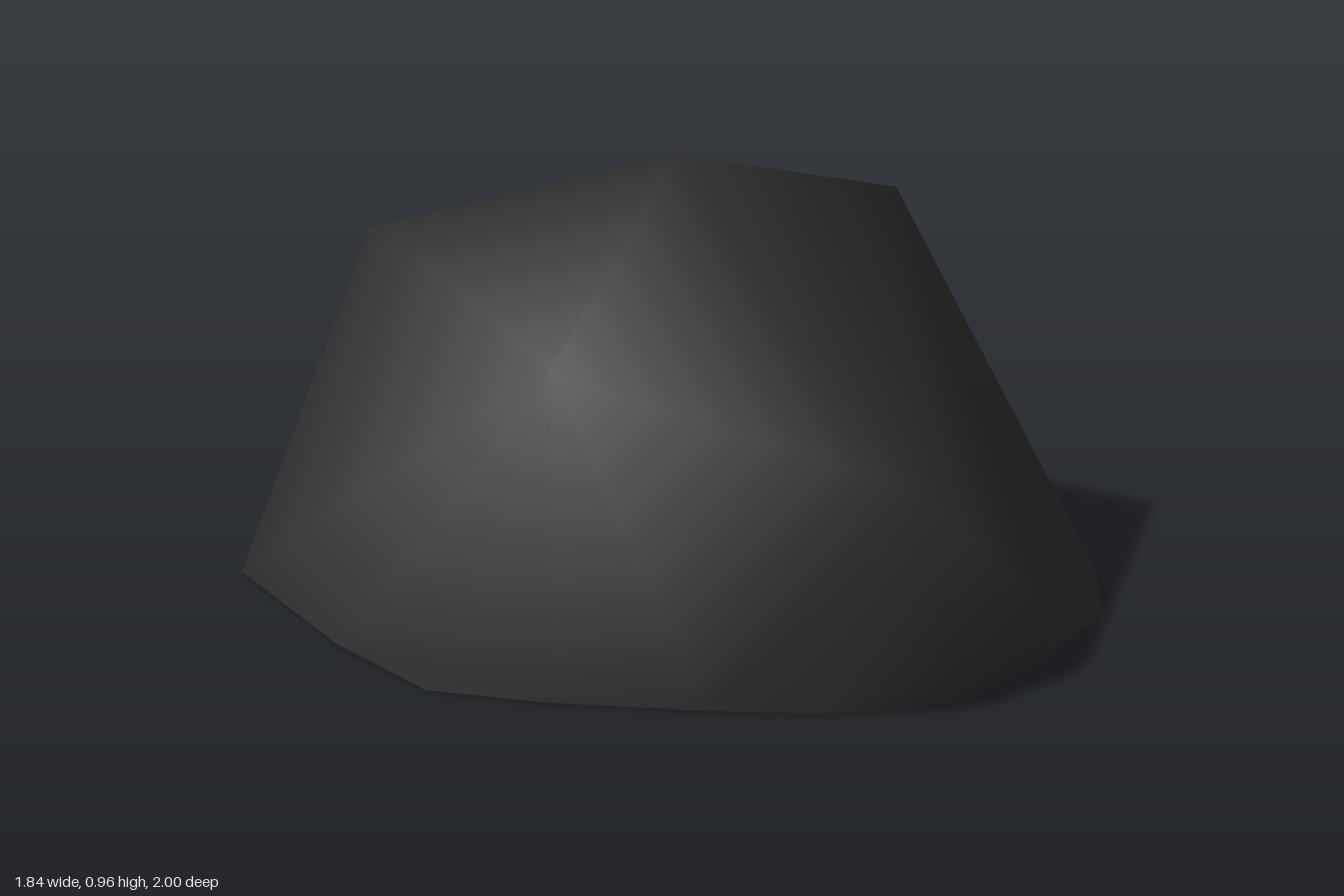
import * as THREE from 'three';
import { ConvexGeometry } from 'three/addons/geometries/ConvexGeometry.js';
import { mergeVertices } from 'three/addons/utils/BufferGeometryUtils.js';

// Ground outline as [x, z]
const OUTLINE = [
  [0.3, -0.9], [0.82, -0.68], [0.92, -0.48], [0.9, -0.3], [0.85, 0], [0.75, 0.3],
  [0.65, 0.57], [0.59, 0.7], [0.52, 0.8], [0.28, 0.95], [-0.05, 0.98], [-0.36, 0.96],
  [-0.55, 0.75], [-0.67, 0.56], [-0.82, 0.29], [-0.92, 0.04], [-0.84, -0.28], [-0.64, -0.75],
];

// Corners of the stone above the ground
const CORNERS = [
  [-0.03, 0.96, 0.02],  // peak
  [0.37, 0.855, 0.34],  // front shoulder
  [-0.73, 0.67, 0.22],  // side shoulder
  [0.48, 0.69, -0.69],  // back shoulders
  [-0.21, 0.72, -0.72],
  [-0.4, 0.47, 0.87],   // front brow
  [0.29, 0.27, -1],     // back bulge
  [-0.05, 0.13, 1],     // front bulge
  [-0.36, 0.1, 0.97],
  [0.8, 0.12, -0.66],
];

// Smooth shell: convex stone without its underside
function shellGeometry() {
  const points = CORNERS.map((p) => new THREE.Vector3(...p));
  for (const [x, z] of OUTLINE) points.push(new THREE.Vector3(Math.max(x, -0.86), 0, z));
  const hull = new ConvexGeometry(points).getAttribute('position');
  const kept = [];
  for (let i = 0; i < hull.count; i += 3) {
    if (Math.max(hull.getY(i), hull.getY(i + 1), hull.getY(i + 2)) < 0.001) continue;
    for (let j = i; j < i + 3; j++) kept.push(hull.getX(j), hull.getY(j), hull.getZ(j));
  }
  const geometry = new THREE.BufferGeometry();
  geometry.setAttribute('position', new THREE.Float32BufferAttribute(kept, 3));
  const smooth = mergeVertices(geometry, 0.001);
  smooth.computeVertexNormals();
  return smooth;
}

export function createModel() {
  const group = new THREE.Group();
  group.name = 'rock';
  const stone = new THREE.MeshStandardMaterial({ color: 0x2c2c2c, side: THREE.DoubleSide });
  stone.name = 'dark stone';

  const shell = new THREE.Mesh(shellGeometry(), stone);
  shell.name = 'rockShell';
  group.add(shell);

  // Flat underside, facing down
  const shape = new THREE.Shape(OUTLINE.map(([x, z]) => new THREE.Vector2(x, z)));
  const base = new THREE.Mesh(new THREE.ShapeGeometry(shape).rotateX(Math.PI / 2), stone);
  base.name = 'rockUnderside';
  group.add(base);
  return group;
}
